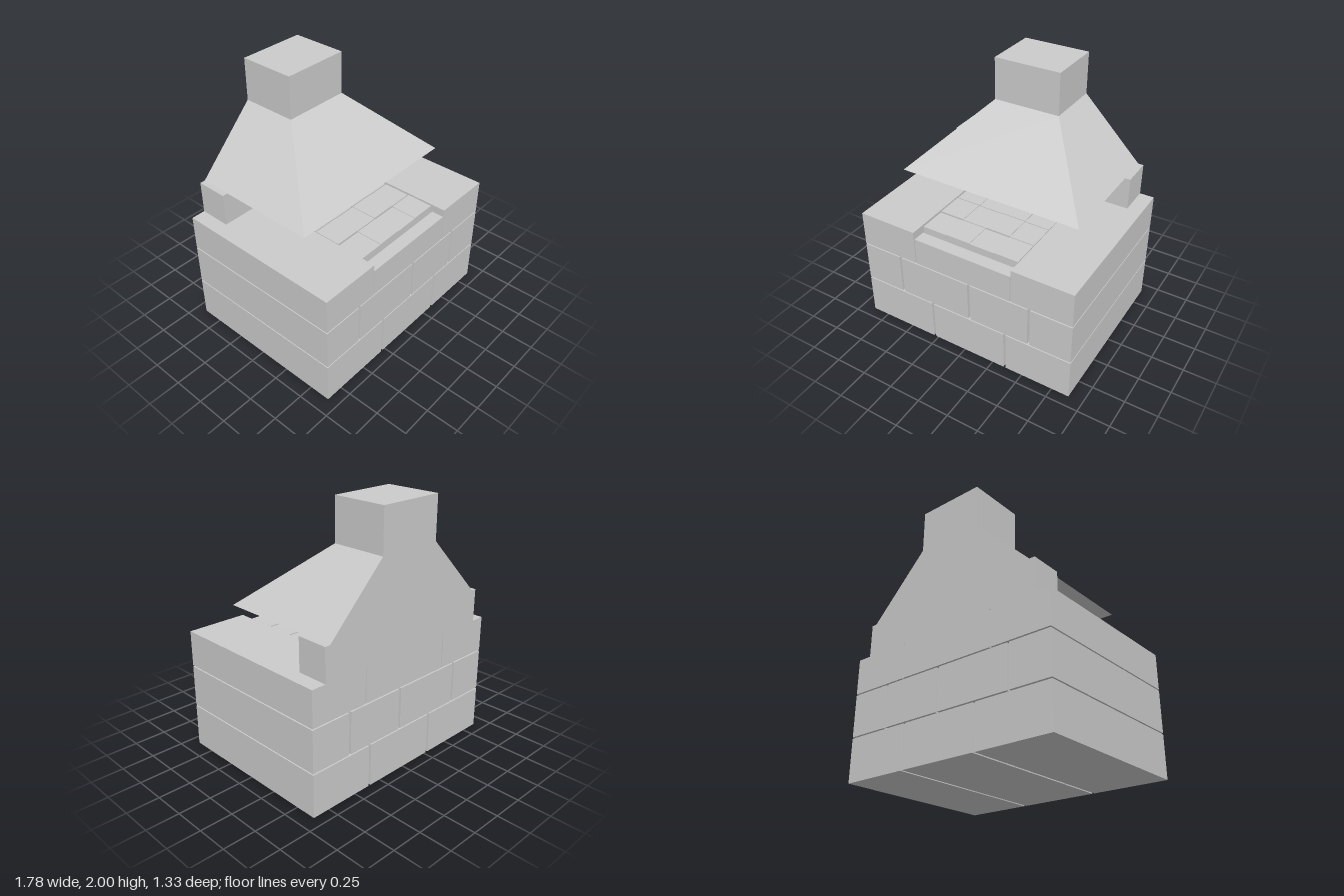
import * as THREE from 'three';

const material = new THREE.MeshStandardMaterial({ color: 0xcccccc, flatShading: true });
const BACK = -0.665, FRONT = 0.665, TOP = 0.945;

// Box given by its limits on each axis
function block(parent, name, [x0, x1], [y0, y1], [z0, z1]) {
  const mesh = new THREE.Mesh(new THREE.BoxGeometry(x1 - x0, y1 - y0, z1 - z0), material);
  mesh.position.set((x0 + x1) / 2, (y0 + y1) / 2, (z0 + z1) / 2);
  mesh.name = name;
  parent.add(mesh);
  return mesh;
}

export function createModel() {
  const model = new THREE.Group();
  model.name = 'barbecueFireplace';

  // Base: full-depth stone courses with open joints
  const base = new THREE.Group();
  base.name = 'stoneBase';
  model.add(base);
  const courses = [
    { y: [0, 0.328], x: [[-0.888, -0.29], [-0.272, 0.345], [0.363, 0.888]] },
    { y: [0.338, 0.66], x: [[-0.888, -0.565], [-0.547, 0.043], [0.061, 0.542], [0.56, 0.888]] },
    { y: [0.67, TOP], x: [[-0.888, -0.411], [0.407, 0.888]] },
  ];
  for (const { y, x } of courses) {
    for (const span of x) block(base, 'stoneBlock', span, y, [BACK, FRONT]);
  }

  // Firebox: lower front ledge, brick grid and rear block
  const firebox = new THREE.Group();
  firebox.name = 'firebox';
  model.add(firebox);
  block(firebox, 'frontLedge', [-0.402, 0.4], [0.67, 0.89], [0.566, FRONT]);
  block(firebox, 'rearBlock', [-0.402, 0.4], [0.67, TOP], [BACK, -0.11]);
  for (let row = 0; row < 3; row++) {
    for (let col = 0; col < 4; col++) {
      const x = -0.402 + col * 0.2;
      const z = 0.552 - row * 0.22;
      const top = 0.935 + ((row * 3 + col * 2) % 4) * 0.002;
      block(firebox, 'hearthBrick', [x, x + 0.199], [0.67, top], [z - 0.21, z]);
    }
  }

  // Back wall carrying the hood
  block(model, 'backWall', [-0.777, 0.774], [TOP, 1.2], [BACK, -0.42]);

  // Hood: a box whose upper corners are drawn in to the chimney
  const hood = block(model, 'hood', [-0.735, 0.732], [1.2, 1.67], [BACK, 0.33]);
  const p = hood.geometry.attributes.position;
  for (let i = 0; i < p.count; i++) {
    if (p.getY(i) < 0) continue;
    p.setX(i, (p.getX(i) < 0 ? -0.268 : 0.264) - hood.position.x);
    if (p.getZ(i) > 0) p.setZ(i, -0.225 - hood.position.z);
  }
  hood.geometry.computeVertexNormals();

  // Chimney
  block(model, 'chimney', [-0.268, 0.264], [1.67, 2], [BACK, -0.225]);

  return model;
}
